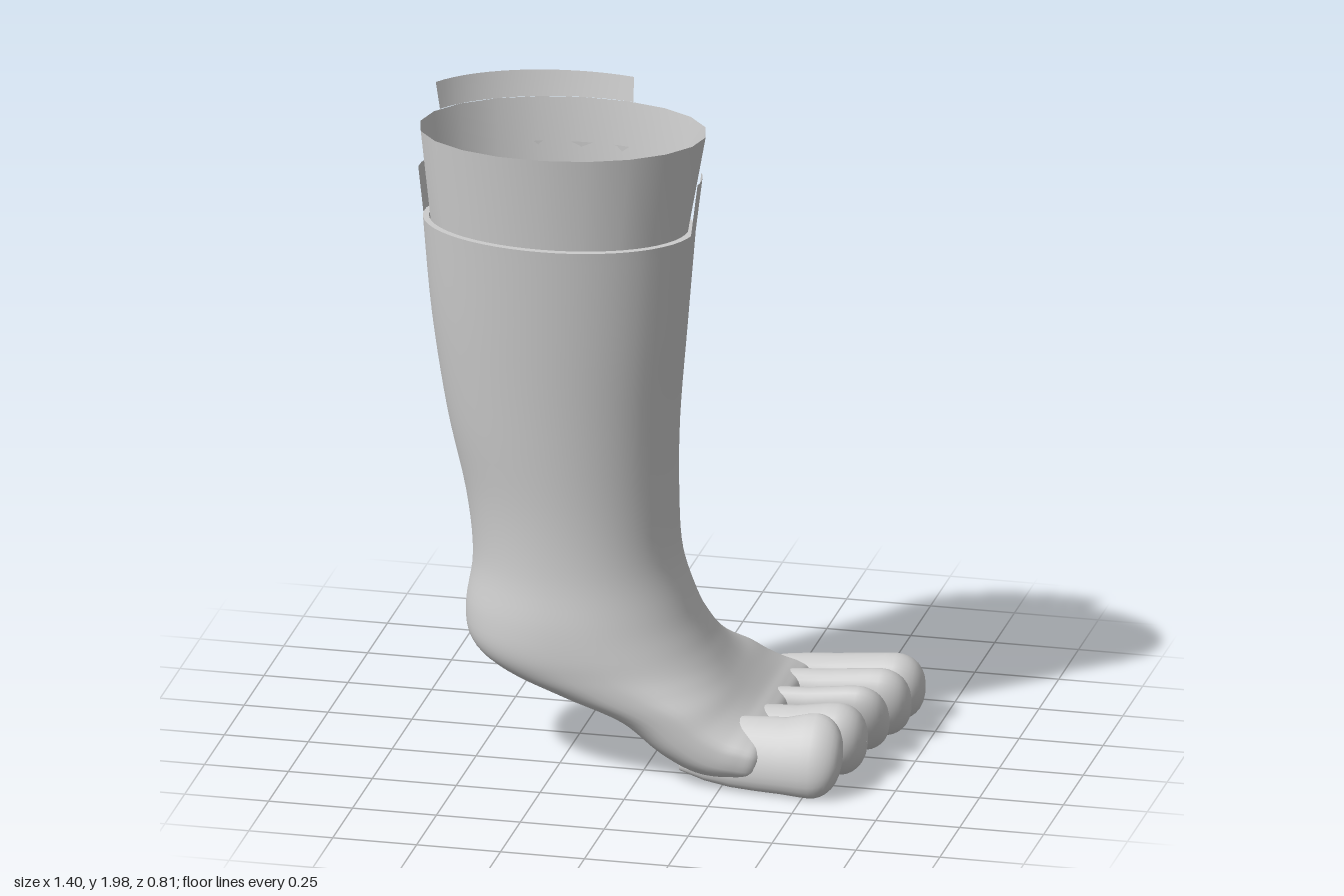
import * as THREE from 'three';

const mat = new THREE.MeshStandardMaterial({ color: 0xcccccc, side: THREE.DoubleSide });
const PI = Math.PI;

// Skin a list of rings (arrays of [x, y, z]) into a smooth surface
function loft(name, rings, closed = true) {
  const n = rings[0].length, idx = [];
  for (let i = 0; i < rings.length - 1; i++) {
    for (let j = 0; j < (closed ? n : n - 1); j++) {
      const k = (j + 1) % n, a = i * n + j, b = i * n + k, c = a + n, d = b + n;
      idx.push(a, b, c, b, d, c);
    }
  }
  const geo = new THREE.BufferGeometry();
  geo.setAttribute('position', new THREE.Float32BufferAttribute(rings.flat(2), 3));
  geo.setIndex(idx);
  geo.computeVertexNormals();
  const mesh = new THREE.Mesh(geo, mat);
  mesh.name = name;
  return mesh;
}

// Cross-section: [backX, backY, frontX, frontY, zMin, zMax, exponent, inner-side taper]
function ring([bx, by, fx, fy, z0, z1, e = 1, t = 0], n = 56, a0 = 0, a1 = 2 * PI, closed = true) {
  const pts = [];
  for (let j = 0; j < n; j++) {
    const a = a0 + (a1 - a0) * j / (closed ? n : n - 1);
    const c = Math.sign(Math.cos(a)) * Math.abs(Math.cos(a)) ** e;
    const s = Math.sign(Math.sin(a)) * Math.abs(Math.sin(a)) ** e;
    const w = (z1 - z0) / 2 * s * (s < 0 ? 1 + t * c : 1);
    pts.push([(bx + fx) / 2 + c * (fx - bx) / 2, (by + fy) / 2 + c * (fy - by) / 2, (z0 + z1) / 2 + w]);
  }
  return pts;
}

// Smoothly interpolate a list of cross-sections
function refine(secs, steps) {
  const curves = secs[0].map((_, k) => new THREE.SplineCurve(secs.map((s, i) => new THREE.Vector2(i, s[k]))));
  const total = (secs.length - 1) * steps;
  return Array.from({ length: total + 1 }, (_, i) => curves.map(c => c.getPoint(i / total).y));
}

// Open wall panel between two cross-sections over an angle range
const panel = (name, low, high, a0, a1) =>
  loft(name, [ring(high, 16, a0, a1, false), ring(low, 16, a0, a1, false)], false);

// Toe: rounded tube along +x from a buried root to a domed tip
function toe({ z, w, tip, top, lean }) {
  const base = 0.012, rings = [], dome = 0.085;
  const stations = [[0.12, 0.35], [0.2, 0.68], [0.28, 0.84], [0.36, 0.88], [0.43, 0.9], [tip - dome - 0.03, 0.98]];
  for (let i = 0; i <= 8; i++) {
    const a = i / 8 * PI / 2;
    stations.push([tip - dome + dome * Math.sin(a), Math.max(Math.cos(a), 0.001) ** 0.8]);
  }
  const curveY = (base + top) / 2, h = (top - base) / 2;
  for (const [x, f] of stations) {
    const root = Math.max(0, 0.4 - x);
    const cy = curveY - (x < 0.5 ? h * (1 - f) * 0.6 : 0);
    rings.push(Array.from({ length: 28 }, (_, j) => {
      const a = j / 28 * 2 * PI, c = Math.cos(a), s = Math.sin(a);
      return [x, cy + c * h * f, z * (1 - 0.35 * root) + s * w * f + c * lean * f];
    }));
  }
  return loft('toe', rings);
}

export function createModel() {
  const g = new THREE.Group();
  g.name = 'hollowFoot';

  // Leg, heel and instep in one sweep, turning from level to upright sections
  const rim = [-0.685, 1.64, 0.12, 1.64, -0.14, 0.38, 1, 0];
  const body = [
    rim,
    [-0.66, 1.35, 0.095, 1.35, -0.14, 0.368, 1, 0],
    [-0.615, 1.05, 0.07, 1.05, -0.142, 0.355, 1, 0],
    [-0.56, 0.8, 0.065, 0.8, -0.15, 0.348, 1, 0],
    [-0.538, 0.61, 0.075, 0.63, -0.16, 0.358, 0.97, 0],
    [-0.556, 0.46, 0.12, 0.485, -0.18, 0.385, 0.93, 0.02],
    [-0.54, 0.365, 0.16, 0.4, -0.195, 0.396, 0.88, 0.08],
    [-0.46, 0.3, 0.195, 0.345, -0.205, 0.397, 0.85, 0.15],
    [-0.3, 0.24, 0.225, 0.305, -0.225, 0.397, 0.82, 0.2],
    [-0.1, 0.17, 0.255, 0.272, -0.275, 0.397, 0.8, 0.15],
    [0.03, 0.075, 0.285, 0.243, -0.33, 0.397, 0.77, 0.03],
    [0.15, 0.022, 0.315, 0.218, -0.37, 0.397, 0.72, -0.05],
    [0.27, 0.013, 0.345, 0.2, -0.385, 0.395, 0.7, -0.05],
    [0.345, 0.022, 0.37, 0.18, -0.375, 0.385, 0.7, 0],
    [0.375, 0.06, 0.385, 0.14, -0.33, 0.34, 0.75, 0],
    [0.385, 0.1, 0.385, 0.1, -0.25, 0.25, 1, 0],
  ];
  g.add(loft('legAndFoot', refine(body, 5).map(s => ring(s))));

  // Toes from big to little
  [
    { z: -0.328, w: 0.079, tip: 0.7, top: 0.212, lean: 0 },
    { z: -0.183, w: 0.07, tip: 0.693, top: 0.222, lean: 0.012 },
    { z: -0.034, w: 0.068, tip: 0.662, top: 0.226, lean: 0.03 },
    { z: 0.148, w: 0.089, tip: 0.64, top: 0.226, lean: 0 },
    { z: 0.317, w: 0.072, tip: 0.606, top: 0.238, lean: -0.045 },
  ].forEach(t => g.add(toe(t)));

  // Thin faceted liner inside the leg, flaring out above its rim
  const lip = [-0.7, 1.91, 0.15, 1.932, -0.165, 0.375];
  const liner = [
    lip,
    [-0.667, 1.64, 0.1, 1.64, -0.122, 0.36],
    [-0.635, 1.35, 0.075, 1.35, -0.12, 0.348],
    [-0.59, 1.05, 0.05, 1.05, -0.122, 0.335],
    [-0.537, 0.8, 0.045, 0.8, -0.13, 0.328],
    [-0.515, 0.62, 0.05, 0.62, -0.138, 0.336],
  ];
  g.add(loft('liner', liner.map(s => ring(s, 20))));

  // Raised flap on the back of the liner
  g.add(panel('linerFlap', lip, [-0.715, 1.99, 0.155, 2.0, -0.182, 0.39], PI + 0.4, 1.5 * PI + 0.36));

  // Raised parts of the outer rim: back panel and a narrow side tab
  const high = [-0.7, 1.78, 0.14, 1.8, -0.143, 0.385];
  g.add(panel('rimBackPanel', rim, high, PI - 0.05, 1.5 * PI + 0.4));
  g.add(panel('rimSideTab', rim, high, -0.28, 0.12));

  // Narrow ledge closing the gap between outer rim and liner
  g.add(loft('rimLedge', [ring(liner[1]), ring(rim)]));
  return g;
}
